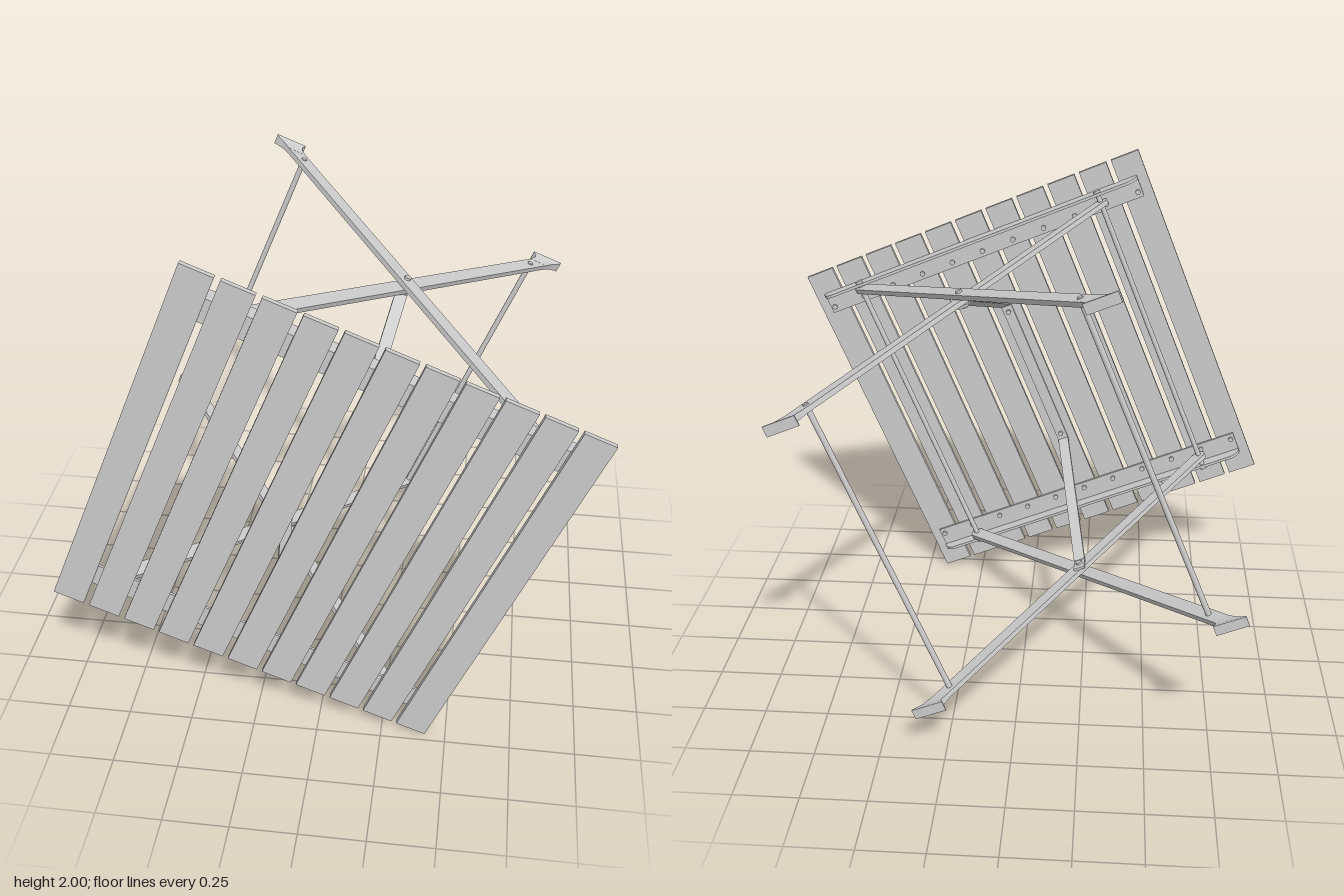
import * as THREE from 'three';

const flat = new THREE.MeshStandardMaterial({ color: 0xcccccc, flatShading: true });
const smooth = new THREE.MeshStandardMaterial({ color: 0xcccccc });

const HALF = 0.767;                  // half side of the square top
const FOOT_U = 0.583, TOP_U = 0.55;  // where the legs end
const FOOT_Z = -0.7, TOP_Z = 0.655;
const LEG_R = 0.028, LEG_T = 0.02;   // half width and thickness of a leg bar
const OUTER = 0.645, INNER = 0.622;  // the two leg planes

export function createModel() {
  const root = new THREE.Group();
  root.name = 'foldingTable';

  // The table lies on its side and is tilted about the z axis
  const table = new THREE.Group();
  table.name = 'tiltedTable';
  table.rotation.z = -0.3876;
  table.position.y = 1;
  root.add(table);

  function add(name, geometry, x = 0, y = 0, z = 0, material = flat) {
    const mesh = new THREE.Mesh(geometry, material);
    mesh.name = name;
    mesh.position.set(x, y, z);
    table.add(mesh);
    return mesh;
  }

  // Shape drawn in the x-z plane, given a thickness centred on y
  function plate(name, shape, thickness, y) {
    const g = new THREE.ExtrudeGeometry(shape, { depth: thickness, bevelEnabled: false, curveSegments: 10 });
    g.translate(0, 0, -thickness / 2);
    g.rotateX(Math.PI / 2);
    return add(name, g, 0, y, 0);
  }

  // Round bar along y
  function rod(name, r, y0, y1, x, z) {
    return add(name, new THREE.CylinderGeometry(r, r, Math.abs(y1 - y0), 14), x, (y0 + y1) / 2, z, smooth);
  }

  // Bolt head standing off the underside of the top
  function bolt(x, y, z) {
    const m = add('bolt', new THREE.CylinderGeometry(0.011, 0.011, 0.01, 12), x, y, z, smooth);
    m.rotation.x = Math.PI / 2;
  }

  // Slats
  const count = 11, slatW = 0.12, pitch = (2 * HALF - slatW) / (count - 1);
  const slatX = (i) => (i - (count - 1) / 2) * pitch;
  for (let i = 0; i < count; i++) {
    add('slat', new THREE.BoxGeometry(slatW, 2 * HALF, 0.02), slatX(i), 0, 0.71);
  }

  // Angle battens: flange bolted to the slats, web on the outer edge
  const L = 0.725, r = 0.05, z0 = 0.635, z1 = 0.7;
  for (const s of [-1, 1]) {
    add('battenFlange', new THREE.BoxGeometry(2 * L, 0.086, 0.01), 0, s * 0.623, 0.695);
    const web = new THREE.Shape();
    web.moveTo(L, z1);
    web.lineTo(-L, z1);
    web.lineTo(-L, z0 + r);
    web.absarc(-L + r, z0 + r, r, Math.PI, 1.5 * Math.PI, false);
    web.absarc(L - r, z0 + r, r, 1.5 * Math.PI, 2 * Math.PI, false);
    plate('battenWeb', web, 0.012, s * 0.666);
    for (let i = 0; i < count; i++) bolt(slatX(i), s * 0.605, 0.686);
  }

  // Flared foot: a box whose cross-section grows from the leg to the pad
  function foot(footX, slope, y) {
    const g = new THREE.BoxGeometry(1, 1, 1, 1, 1, 4);
    const p = g.attributes.position;
    const sections = [[-0.72, 0.124, 0.041], [-0.714, 0.124, 0.041], [-0.702, 0.098, 0.032],
      [-0.688, 0.08, 0.026], [-0.66, 0.073, 0.021]];
    for (let i = 0; i < p.count; i++) {
      const [z, w, t] = sections[Math.round((p.getZ(i) + 0.5) * 4)];
      const cx = footX + slope * (Math.max(z, -0.705) - FOOT_Z);
      p.setXYZ(i, cx + p.getX(i) * w, p.getY(i) * t, z);
    }
    g.computeVertexNormals();
    add('foot', g, 0, y, 0);
  }

  // Two crossing leg frames, the outer one and the inner one
  for (const [dir, plane] of [[1, OUTER], [-1, INNER]]) {
    const fx = -dir * FOOT_U, tx = dir * TOP_U;
    const slope = (tx - fx) / (TOP_Z - FOOT_Z);
    const angle = Math.atan2(TOP_Z - FOOT_Z, tx - fx);
    const half = LEG_R / Math.sin(angle);
    for (const s of [-1, 1]) {
      const shape = new THREE.Shape();
      shape.moveTo(fx - half, FOOT_Z);
      shape.lineTo(fx + half, FOOT_Z);
      shape.absarc(tx, TOP_Z, LEG_R, angle - Math.PI / 2, angle + Math.PI / 2, false);
      shape.closePath();
      plate('leg', shape, LEG_T, s * plane);
      foot(fx, slope, s * plane);
    }
    // Spreader near the feet and pivot rod under the top
    const barZ = -0.615, barX = fx + slope * (barZ - FOOT_Z);
    const reach = plane + 0.015;
    rod('footSpreader', 0.011, -reach, reach, barX, barZ);
    rod('topPivotRod', 0.011, -0.665, 0.665, tx, TOP_Z);
    for (const s of [-1, 1]) rod('pivotRodHead', 0.015, s * 0.67, s * 0.682, tx, TOP_Z);
  }

  // Brace: flat bar under the middle slat, bent out to the leg crossings
  function strap(name, y0, za, y1, zb, width) {
    const len = Math.hypot(y1 - y0, zb - za);
    const m = add(name, new THREE.BoxGeometry(width, len, 0.01), 0, (y0 + y1) / 2, (za + zb) / 2);
    m.rotation.x = Math.atan2(zb - za, y1 - y0);
  }
  strap('braceBase', -0.345, 0.694, 0.345, 0.694, 0.046);
  for (const s of [-1, 1]) {
    strap('braceArm', s * 0.343, 0.692, s * 0.604, 0.02, 0.046);
    strap('braceTab', s * 0.606, 0.025, s * 0.606, -0.045, 0.046);
    rod('crossingBolt', 0.013, s * 0.592, s * 0.664, 0, -0.01);
    bolt(0, s * 0.31, 0.684);
  }

  return root;
}
